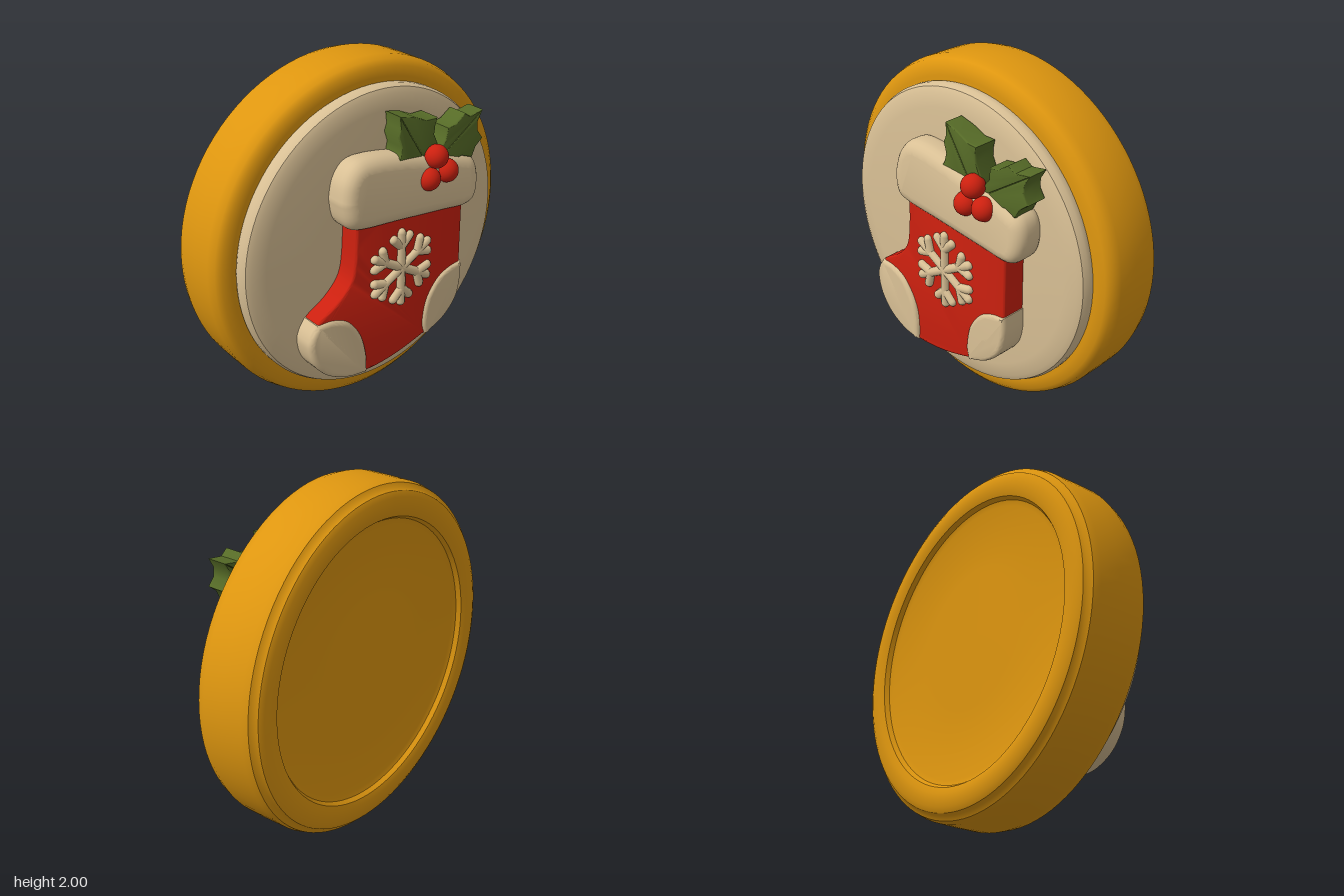
import * as THREE from 'three';
import { toCreasedNormals } from 'three/addons/utils/BufferGeometryUtils.js';

const paint = (name, color) => {
  const m = new THREE.MeshStandardMaterial({ color });
  m.name = name;
  return m;
};

export function createModel() {
  const group = new THREE.Group();
  const biscuit = paint('golden biscuit', 0xde960f);
  const cream = paint('cream icing', 0xd9c095);
  const red = paint('red icing', 0xcc200f);
  const green = paint('green icing', 0x566b27);

  const add = (name, geo, mat, parent = group) => {
    const mesh = new THREE.Mesh(geo, mat);
    mesh.name = name;
    parent.add(mesh);
    return mesh;
  };
  const vecs = (pts) => pts.map((p) => new THREE.Vector2(...p));

  // Move every vertex's z by a rule
  const shiftZ = (geo, rule) => {
    const p = geo.attributes.position;
    for (let i = 0; i < p.count; i++) {
      p.setZ(i, p.getZ(i) + rule(p.getX(i), p.getY(i), p.getZ(i)));
    }
    return geo;
  };

  // Round slab turned about the z axis; profile is [radius, z] from back to front
  const disc = (profile, rule) => {
    const geo = new THREE.LatheGeometry(vecs(profile), 96);
    geo.rotateX(Math.PI / 2);
    shiftZ(geo, rule);
    return toCreasedNormals(geo, 0.6).translate(0, 1, 0);
  };

  // Flat icing piece with rounded front edge, between z0 and z1
  const slab = (shape, z0, z1, bevel, round, rule = () => 0) => {
    const geo = new THREE.ExtrudeGeometry(shape, {
      depth: z1 - z0 - 2 * round, bevelEnabled: true, bevelSize: bevel,
      bevelThickness: round, bevelOffset: -bevel, bevelSegments: 5, curveSegments: 8,
    });
    geo.translate(0, 0, z0 + round);
    return toCreasedNormals(shiftZ(geo, rule), 0.7);
  };

  // Smooth closed outline; pieces are open curves joined at corners
  const outline = (...pieces) => new THREE.Shape(pieces.flatMap((pts) => {
    const c = new THREE.SplineCurve(vecs(pts));
    return c.getPoints(pts.length * 5).slice(0, -1);
  }));

  // Biscuit with recessed back
  add('biscuit', disc([
    [0, -0.305], [0.4, -0.305], [0.77, -0.305], [0.8, -0.315], [0.815, -0.34], [0.85, -0.352],
    [0.92, -0.35], [0.95, -0.335], [0.96, -0.315], [0.985, -0.3], [0.997, -0.26], [1, -0.15],
    [1, -0.03], [0.985, 0.02], [0.955, 0.045], [0.9, 0.052], [0.8, 0.05], [0, 0.05],
  ], (x, y, z) => (z < -0.2 ? -0.015 * x * x : 0.004 * Math.cos(5 * x))), biscuit).scale.x = 0.99;

  // Icing layer
  add('icingDisc', disc([
    [0, 0.03], [0.86, 0.03], [0.873, 0.06], [0.873, 0.09], [0.86, 0.12], [0.83, 0.135],
    [0.75, 0.145], [0.4, 0.155], [0, 0.155],
  ], (x) => -0.008 * x), cream);

  // Stocking
  const stocking = new THREE.Group();
  stocking.name = 'stocking';
  group.add(stocking);
  const lean = (x, y, z) => (z > 0.2 ? -0.06 * Math.max(0, -x - 0.15) : 0);
  const body = outline(
    [[0.48, 1.2], [0.48, 0.95], [0.475, 0.7], [0.44, 0.54], [0.34, 0.43], [0.2, 0.375], [0, 0.32],
      [-0.2, 0.3], [-0.34, 0.32], [-0.47, 0.4], [-0.55, 0.52], [-0.55, 0.62], [-0.51, 0.71],
      [-0.39, 0.79], [-0.3, 0.89], [-0.27, 1.02], [-0.26, 1.24]],
    [[-0.26, 1.24], [0.48, 1.2]],
  );
  add('stockingBody', slab(body, 0.12, 0.288, 0.015, 0.015, lean), red, stocking);
  const toe = outline(
    [[-0.2, 0.297], [-0.32, 0.305], [-0.45, 0.36], [-0.54, 0.46], [-0.572, 0.57], [-0.56, 0.64], [-0.52, 0.705]],
    [[-0.52, 0.705], [-0.42, 0.705], [-0.32, 0.66], [-0.24, 0.55], [-0.205, 0.42], [-0.2, 0.297]],
  );
  add('toePatch', slab(toe, 0.12, 0.305, 0.03, 0.03, lean), cream, stocking);
  const heel = outline(
    [[0.485, 0.775], [0.485, 0.65], [0.45, 0.53], [0.35, 0.43], [0.22, 0.375]],
    [[0.22, 0.375], [0.2, 0.46], [0.225, 0.6], [0.3, 0.71], [0.39, 0.76], [0.485, 0.775]],
  );
  add('heelPatch', slab(heel, 0.12, 0.303, 0.025, 0.03), cream, stocking);
  const cuff = outline([
    [-0.355, 1.36], [-0.33, 1.47], [-0.26, 1.55], [-0.15, 1.565], [0.05, 1.535], [0.28, 1.48], [0.48, 1.43],
    [0.57, 1.38], [0.597, 1.28], [0.575, 1.17], [0.5, 1.118], [0.3, 1.135], [0, 1.165],
    [-0.25, 1.19], [-0.33, 1.24], [-0.355, 1.36],
  ]);
  add('stockingCuff', slab(cuff, 0.11, 0.325, 0.07, 0.07,
    (x, y, z) => (z > 0.2 ? -0.1 * Math.max(0, y + 0.15 * x - 1.25) : 0)), cream, stocking);

  // Snowflake: six arms, each with a forked tip
  const snowflake = new THREE.Group();
  snowflake.name = 'snowflake';
  snowflake.position.set(0.035, 0.88, 0.29);
  stocking.add(snowflake);
  const bar = (name, x, y, length, angle, parent) => {
    const geo = new THREE.CapsuleGeometry(0.026, length, 5, 10);
    geo.translate(0, length / 2, 0);
    const mesh = add(name, geo, cream, parent);
    mesh.position.set(x, y, 0);
    mesh.rotation.z = angle;
  };
  for (let i = 0; i < 6; i++) {
    const arm = new THREE.Group();
    arm.name = 'snowflakeArm';
    arm.rotation.z = (i * Math.PI) / 3;
    snowflake.add(arm);
    bar('armBar', 0, 0, 0.212, 0, arm);
    for (const s of [-1, 1]) bar('armBranch', 0, 0.13, 0.077, s * 0.8, arm);
  }

  // Holly leaves: two halves meeting in a groove along the midrib
  const holly = new THREE.Group();
  holly.name = 'holly';
  group.add(holly);
  const leaves = [
    { base: [0.25, 1.4], tip: [0.03, 1.75],
      sides: [[[0.3, 1.44], [0.295, 1.53], [0.262, 1.6], [0.265, 1.65], [0.275, 1.695], [0.2, 1.695], [0.12, 1.73]],
        [[0.16, 1.41], [0.09, 1.455], [-0.015, 1.46], [0.03, 1.53], [0.04, 1.58], [0.02, 1.64], [0.035, 1.68]]] },
    { base: [0.29, 1.42], tip: [0.625, 1.65],
      sides: [[[0.4, 1.405], [0.47, 1.42], [0.54, 1.395], [0.57, 1.45], [0.62, 1.49], [0.588, 1.54], [0.59, 1.59]],
        [[0.31, 1.49], [0.35, 1.54], [0.36, 1.61], [0.42, 1.62], [0.485, 1.665], [0.53, 1.635]]] },
  ];
  for (const { base, tip, sides } of leaves) {
    const dx = tip[0] - base[0], dy = tip[1] - base[1], len = Math.hypot(dx, dy);
    const fold = (x, y, z) => (z > 0.2
      ? 0.12 * Math.abs((x - base[0]) * dy - (y - base[1]) * dx) / len : 0);
    for (const side of sides) {
      const half = new THREE.Shape(vecs([base, ...side, tip]));
      add('hollyLeafHalf', slab(half, 0.15, 0.268, 0.006, 0.012, fold), green, holly);
    }
  }

  // Berries
  for (const [x, y] of [[0.263, 1.48], [0.212, 1.363], [0.34, 1.378]]) {
    add('berry', new THREE.SphereGeometry(0.066, 28, 20), red, holly).position.set(x, y, 0.3);
  }
  return group;
}
